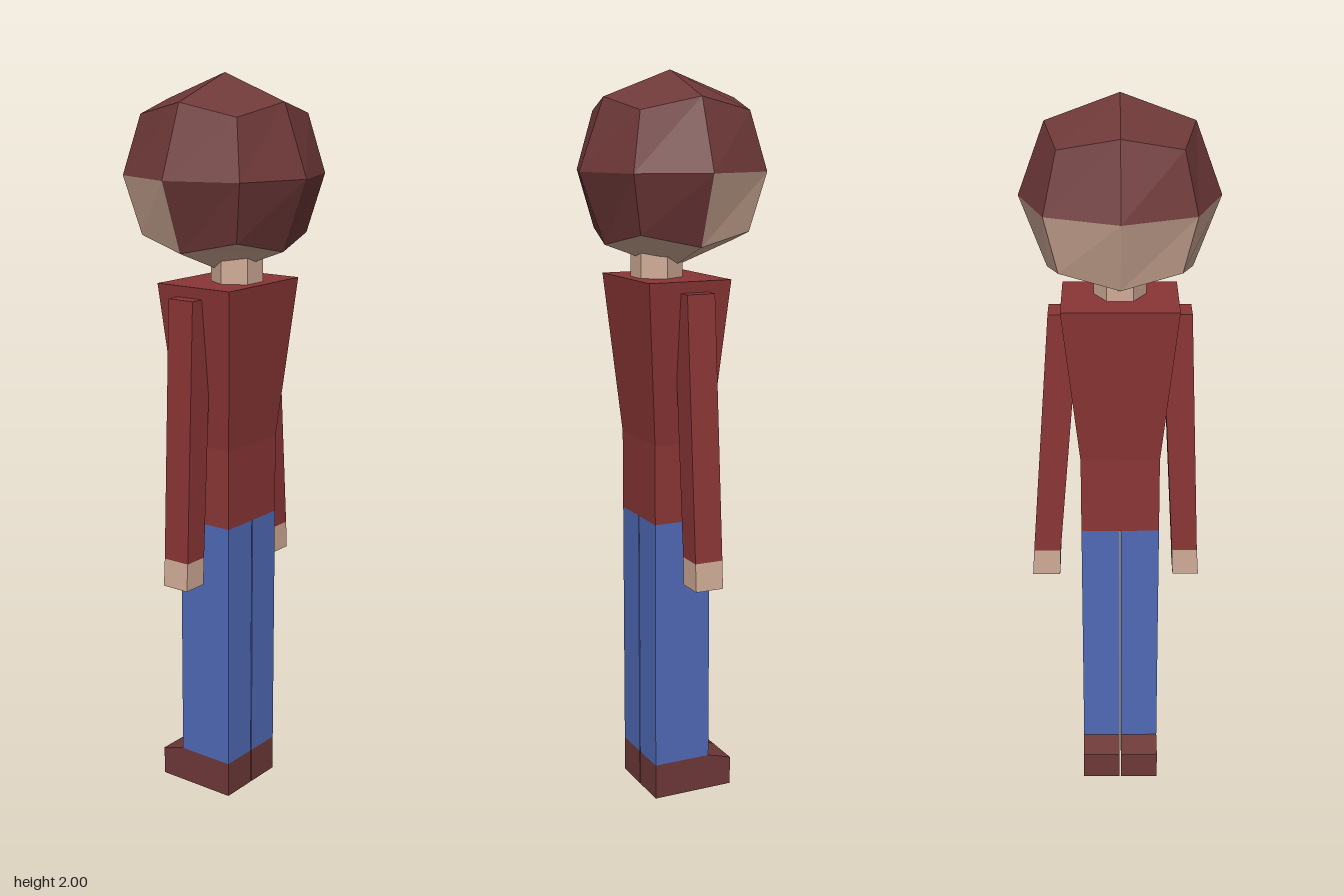
import * as THREE from 'three';

const mat = (name, color) => {
  const m = new THREE.MeshStandardMaterial({ color, flatShading: true });
  m.name = name;
  return m;
};

// Box whose horizontal sections follow rings [y, x0, x1, z0, z1], listed from bottom to top
function loft(rings) {
  const n = rings.length - 1;
  const geo = new THREE.BoxGeometry(1, 1, 1, 1, n, 1);
  const p = geo.attributes.position;
  for (let i = 0; i < p.count; i++) {
    const [y, x0, x1, z0, z1] = rings[Math.round((p.getY(i) + 0.5) * n)];
    p.setXYZ(i, p.getX(i) < 0 ? x0 : x1, y, p.getZ(i) < 0 ? z0 : z1);
  }
  geo.computeVertexNormals();
  return geo;
}

// Faceted ball from a 2x2x2 box; group 0 is hair, group 1 is skin
function headGeometry() {
  const geo = new THREE.BoxGeometry(2, 2, 2, 2, 2, 2).toNonIndexed();
  geo.clearGroups();
  const p = geo.attributes.position;
  for (let q = 0; q < p.count; q += 6) {
    let y = 0, z = 0;
    for (let i = q; i < q + 6; i++) { y += p.getY(i) / 6; z += p.getZ(i) / 6; }
    geo.addGroup(q, 6, y > 0 || (y > -0.9 && z > 0) ? 0 : 1);
  }
  // Radius of a coordinate by vertex kind: face centre, edge middle, corner
  const reach = [0, 0.26, 0.19, 0.156];
  for (let i = 0; i < p.count; i++) {
    const v = [p.getX(i), p.getY(i), p.getZ(i)].map(Math.round);
    const r = reach[v.filter((c) => c !== 0).length];
    p.setXYZ(i, v[0] * r, v[1] * r, v[2] * r);
  }
  geo.computeVertexNormals();
  return geo;
}

// Shoe side profile in (z, y), toe towards -z, extruded across its width
function shoeGeometry(x0, x1) {
  const side = new THREE.Shape(
    [[0.095, 0], [0.095, 0.1], [-0.07, 0.1], [-0.14, 0.08], [-0.14, 0]]
      .map(([z, y]) => new THREE.Vector2(z, y)));
  const geo = new THREE.ExtrudeGeometry(side, { depth: x1 - x0, bevelEnabled: false });
  return geo.rotateY(-Math.PI / 2).translate(x1, 0, 0);
}

export function createModel() {
  const hair = mat('brown', 0x6e3838);
  const skin = mat('skin', 0xd0ab97);
  const shirt = mat('red', 0x8a3535);
  const jeans = mat('blue', 0x5069b6);
  const model = new THREE.Group();
  model.name = 'person';
  const add = (name, geo, material) => {
    const mesh = new THREE.Mesh(geo, material);
    mesh.name = name;
    model.add(mesh);
    return mesh;
  };

  // Head and neck
  add('head', headGeometry(), [hair, skin]).position.set(0, 1.74, 0);
  const neck = new THREE.CylinderGeometry(0.07, 0.07, 0.11, 6).rotateY(Math.PI / 6);
  add('neck', neck, skin).position.set(0, 1.505, 0.04);

  // Torso widening from the waist to the shoulders
  add('torso', loft([
    [0.8, -0.108, 0.108, -0.07, 0.095],
    [1.02, -0.108, 0.108, -0.07, 0.095],
    [1.46, -0.155, 0.155, -0.106, 0.132],
  ]), shirt);

  // Arms: the left one hangs a little wider; x spans for fingertips, wrist and shoulder
  const arms = {
    left: [[0.171, 0.248], [0.168, 0.243], [0.107, 0.19]],
    right: [[-0.222, -0.149], [-0.217, -0.146], [-0.19, -0.11]],
  };
  for (const [side, [tip, wrist, shoulder]] of Object.entries(arms)) {
    const ring = (y, span) => [y, ...span, -0.04, 0.04];
    add(`${side}Sleeve`, loft([ring(0.72, wrist), ring(1.43, shoulder)]), shirt);
    add(`${side}Hand`, loft([ring(0.643, tip), ring(0.72, wrist)]), skin);
  }

  // Legs and shoes
  for (const [side, x0, x1] of [['left', 0.002, 0.108], ['right', -0.108, -0.002]]) {
    add(`${side}Leg`, loft([[0.1, x0, x1, -0.07, 0.095], [0.8, x0, x1, -0.07, 0.095]]), jeans);
    add(`${side}Shoe`, shoeGeometry(x0, x1), hair);
  }
  return model;
}
